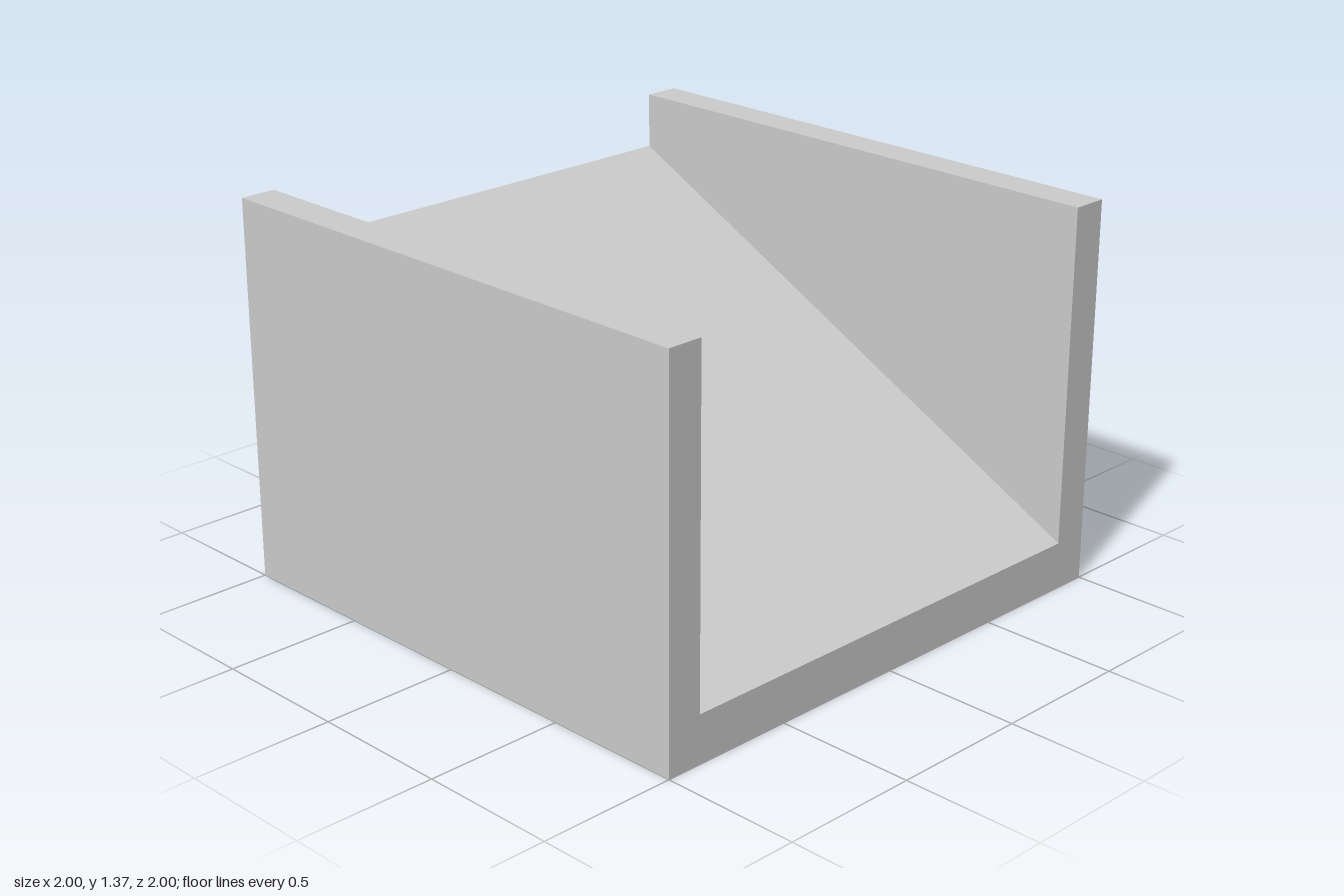
import * as THREE from 'three';

export function createModel() {
  const group = new THREE.Group();
  const grey = new THREE.MeshStandardMaterial({ color: 0xcccccc });
  grey.name = 'light grey';
  const greySheet = grey.clone();
  greySheet.side = THREE.DoubleSide;

  const height = 1.37, floorTop = 0.17, inner = 0.87, rampTop = 1.17;

  // U-shaped channel: floor and two side walls in one solid
  const profile = new THREE.Shape([
    [-1, 0], [1, 0], [1, height], [inner, height],
    [inner, floorTop], [-inner, floorTop], [-inner, height], [-1, height],
  ].map(([x, y]) => new THREE.Vector2(x, y)));
  const channelGeo = new THREE.ExtrudeGeometry(profile, { depth: 2, bevelEnabled: false });
  channelGeo.translate(0, 0, -1);
  const channel = new THREE.Mesh(channelGeo, grey);
  channel.name = 'channel';
  group.add(channel);

  // Thin ramp rising from the front of the floor to the open back
  const rise = rampTop - floorTop;
  const rampGeo = new THREE.PlaneGeometry(inner * 2, Math.hypot(2, rise));
  rampGeo.rotateX(-Math.PI / 2 + Math.atan2(rise, 2));
  rampGeo.translate(0, (floorTop + rampTop) / 2, 0);
  const ramp = new THREE.Mesh(rampGeo, greySheet);
  ramp.name = 'ramp';
  group.add(ramp);

  return group;
}
